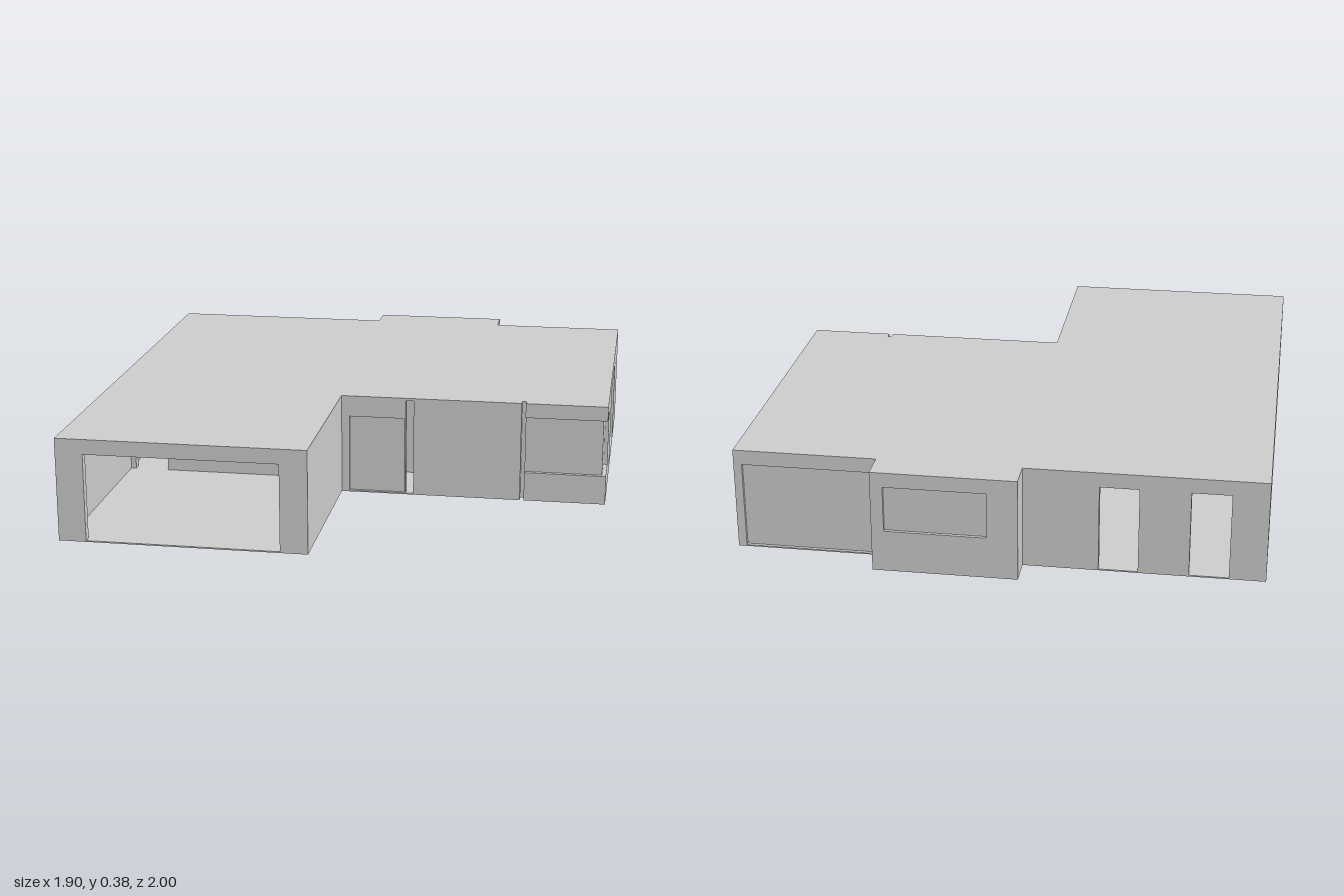
import * as THREE from 'three';

const H = 0.38, T = 0.03;

export function createModel() {
  const house = new THREE.Group();
  house.name = 'house';
  const plaster = new THREE.MeshStandardMaterial({ color: 0xcccccc });
  plaster.name = 'pale grey';

  const add = (name, geometry, parent = house) => {
    const mesh = new THREE.Mesh(geometry, plaster);
    mesh.name = name;
    parent.add(mesh);
    return mesh;
  };

  // Upright prism from a plan outline of [x, z] points
  const prism = (name, plan, y0, y1) => {
    const shape = new THREE.Shape(plan.map(([x, z]) => new THREE.Vector2(x, -z)));
    const geo = new THREE.ExtrudeGeometry(shape, { depth: y1 - y0, bevelEnabled: false });
    add(name, geo.rotateX(-Math.PI / 2).translate(0, y0, 0));
  };
  const block = (name, x0, x1, z0, z1, y0 = 0, y1 = H) =>
    prism(name, [[x0, z0], [x1, z0], [x1, z1], [x0, z1]], y0, y1);

  // Wall along its outer line, thickness inward. Openings use world
  // coordinates along the wall: [start, end, bottom, top, panelCount]
  const wall = (name, from, to, openings = []) => {
    const dx = to[0] - from[0], dz = to[1] - from[1];
    const length = Math.hypot(dx, dz);
    const origin = Math.abs(dx) > Math.abs(dz) ? from[0] : from[1];
    const cuts = openings.map(([a, b, y0, y1, panels = 0]) => {
      const [u0, u1] = [Math.abs(a - origin), Math.abs(b - origin)].sort((p, q) => p - q);
      return { u0, u1, y0, y1, panels };
    }).sort((p, q) => p.u0 - q.u0);

    const group = new THREE.Group();
    group.name = name;
    group.position.set(from[0], 0, from[1]);
    group.rotation.y = Math.atan2(-dz, dx);
    house.add(group);

    const shape = new THREE.Shape();
    shape.moveTo(0, 0);
    for (const { u0, u1, y0, y1 } of cuts) {
      if (y0 === 0) {
        shape.lineTo(u0, 0);
        shape.lineTo(u0, y1);
        shape.lineTo(u1, y1);
        shape.lineTo(u1, 0);
      } else {
        shape.holes.push(new THREE.Path([[u0, y0], [u0, y1], [u1, y1], [u1, y0]]
          .map(([u, y]) => new THREE.Vector2(u, y))));
      }
    }
    shape.lineTo(length, 0);
    shape.lineTo(length, H);
    shape.lineTo(0, H);
    shape.closePath();
    const geo = new THREE.ExtrudeGeometry(shape, { depth: T, bevelEnabled: false });
    add(name + 'Body', geo.translate(0, 0, -T), group);

    // Recessed door and window leaves, staggered when there are several
    for (const { u0, u1, y0, y1, panels } of cuts) {
      const w = (u1 - u0) / panels;
      for (let i = 0; i < panels; i++) {
        const leaf = add(name + 'Panel', new THREE.BoxGeometry(w, y1 - y0, 0.008), group);
        leaf.position.set(u0 + w * (i + 0.5), (y0 + y1) / 2, -0.016 - 0.006 * (i % 2));
      }
    }
  };

  // Floor slab and flat roof
  const plan = [[-0.95, 1], [-0.05, 1], [-0.05, 0.31], [0.63, 0.31], [0.63, 0.28],
    [0.645, 0.28], [0.645, 0.31], [0.95, 0.31], [0.95, -0.89], [0.43, -0.89],
    [0.43, -1], [-0.09, -1], [-0.09, -0.89], [-0.95, -0.89]];
  prism('floor', plan, 0, 0.005);
  prism('roof', plan, 0.37, H);

  // Outer walls
  wall('garageFront', [-0.95, 1], [-0.05, 1], [[-0.85, -0.15, 0, 0.325]]);
  wall('garageSide', [-0.05, 1], [-0.05, 0.31]);
  wall('entranceWall', [-0.05, 0.31], [0.195, 0.31], [[-0.02, 0.19, 0, 0.3, 1]]);
  wall('frontWall', [0.225, 0.31], [0.63, 0.31]);
  wall('leftWall', [0.95, 0.16], [0.95, -0.89], [[-0.13, -0.55, 0, 0.325, 2]]);
  wall('backWallLeft', [0.95, -0.89], [0.43, -0.89], [[0.925, 0.45, 0, 0.325, 1]]);
  wall('bayLeft', [0.43, -0.89], [0.43, -1]);
  wall('bayBack', [0.43, -1], [-0.09, -1], [[0.385, 0.02, 0.155, 0.325, 1]]);
  wall('bayRight', [-0.09, -1], [-0.09, -0.89]);
  wall('backWallRight', [-0.09, -0.89], [-0.95, -0.89],
    [[-0.36, -0.5, 0, 0.325], [-0.68, -0.82, 0, 0.325]]);
  wall('rightWall', [-0.95, -0.89], [-0.95, 1], [[0.25, 0.4, 0.165, 0.325]]);

  // Corner window: sill, lintel and recessed glazing wrap the corner
  const corner = (name, inset, depth, y0, y1) => {
    const x = 0.95 - inset, z = 0.31 - inset;
    prism(name, [[0.645, z], [x, z], [x, 0.16], [x - depth, 0.16],
      [x - depth, z - depth], [0.645, z - depth]], y0, y1);
  };
  corner('cornerSill', 0, T, 0, 0.11);
  corner('cornerLintel', 0, T, 0.325, H);
  corner('cornerGlazing', 0.015, 0.008, 0.11, 0.325);
  block('grooveBack', 0.61, 0.665, 0.27, 0.28);

  // Inner partitions
  wall('garageBack', [-0.92, 0.18], [-0.05, 0.18], [[-0.9, -0.77, 0, 0.285]]);
  block('garagePartition', -0.08, -0.05, 0.18, 0.31);
  block('utilityPartition', -0.62, -0.59, -0.86, 0.15);
  block('backRoomPartition', -0.25, -0.22, -0.86, 0.15);
  block('hallPartition', -0.05, 0.92, 0.03, 0.06);

  return house;
}
